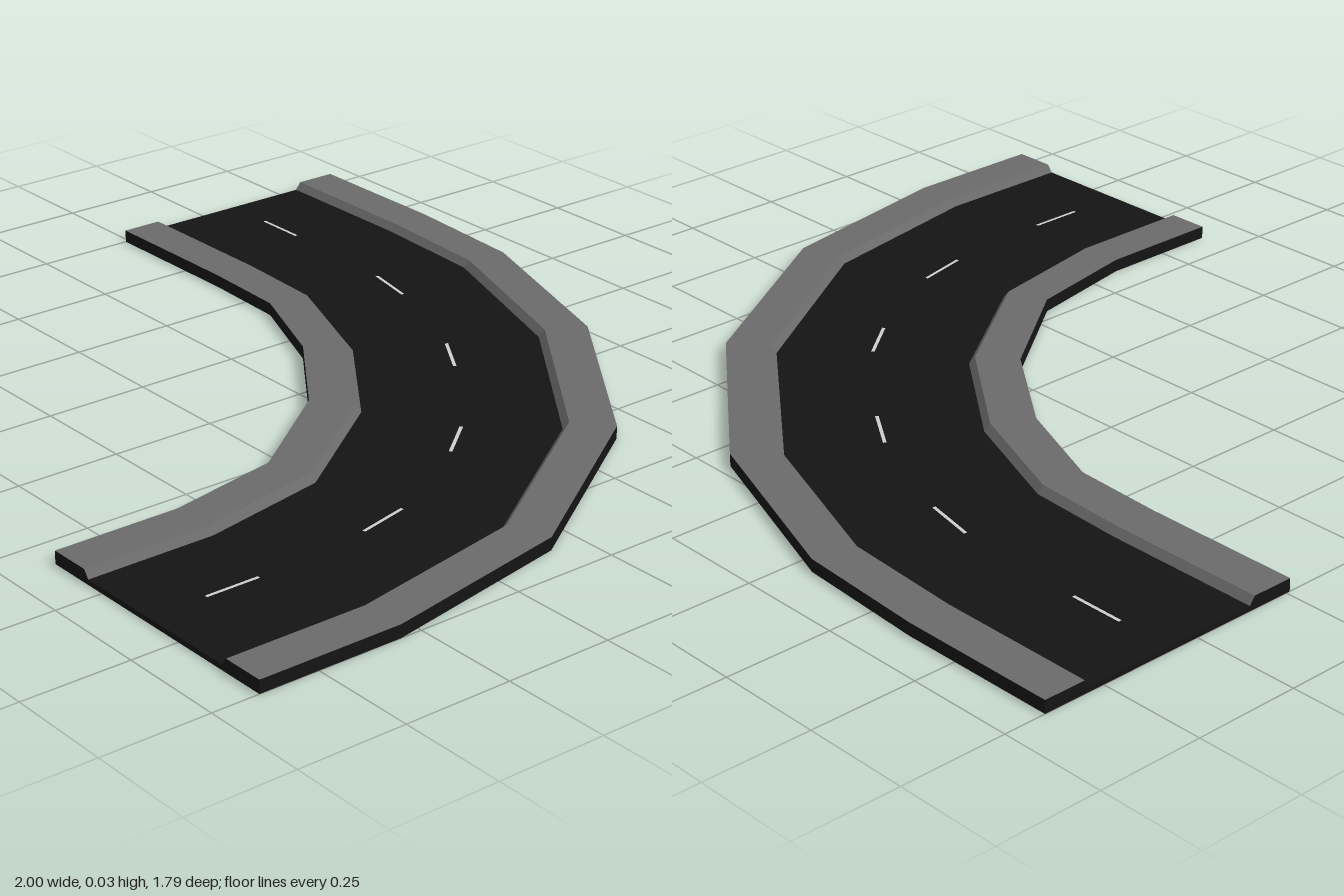
import * as THREE from 'three';

// Plan outlines [x, z] of the bend, from the left-hand end to the front end
const OUTER = [[-1, -0.9], [-0.62, -0.9], [-0.3, -0.88], [0.17, -0.72], [0.61, -0.39], [0.91, 0.08], [1, 0.55], [1, 0.89]];
const INNER = [[-1, -0.24], [-0.62, -0.24], [-0.4, -0.23], [-0.15, -0.13], [0.09, 0.045], [0.285, 0.31], [0.34, 0.59], [0.34, 0.89]];

const TOP = 0.03;   // pavement height
const ROAD = 0.012; // road surface height

// Cross-section [fraction from outer to inner edge, height]
const OUTER_KERB = [[0, TOP], [0.153, TOP], [0.173, ROAD]];
const INNER_KERB = [[0.827, ROAD], [0.847, TOP], [1, TOP]];
const LANE = [OUTER_KERB[2], INNER_KERB[0]];

const point = (i, [t, y]) => [
  THREE.MathUtils.lerp(OUTER[i][0], INNER[i][0], t), y,
  THREE.MathUtils.lerp(OUTER[i][1], INNER[i][1], t),
];

const quad = (out, a, b, c, d) => out.push(...a, ...b, ...c, ...a, ...c, ...d);

// Sweep an open profile along the bend
function sweep(out, profile) {
  for (let i = 0; i < OUTER.length - 1; i++) {
    for (let j = 0; j < profile.length - 1; j++) {
      const [p, q] = [profile[j], profile[j + 1]];
      quad(out, point(i, p), point(i, q), point(i + 1, q), point(i + 1, p));
    }
  }
  return out;
}

// Close both ends between the ground and the top profile
function caps(out, profile) {
  const last = OUTER.length - 1;
  for (let j = 0; j < profile.length - 1; j++) {
    const [p, q] = [profile[j], profile[j + 1]];
    const [p0, q0] = [[p[0], 0], [q[0], 0]];
    quad(out, point(0, p0), point(0, q0), point(0, q), point(0, p));
    quad(out, point(last, q0), point(last, p0), point(last, p), point(last, q));
  }
  return out;
}

function mesh(name, positions, color) {
  const geometry = new THREE.BufferGeometry();
  geometry.setAttribute('position', new THREE.Float32BufferAttribute(positions, 3));
  geometry.computeVertexNormals();
  const result = new THREE.Mesh(geometry, new THREE.MeshStandardMaterial({ color, flatShading: true }));
  result.name = name;
  return result;
}

export function createModel() {
  const group = new THREE.Group();
  group.name = 'curvedRoad';

  // Dark slab: side walls, underside and ends
  const base = sweep([], [[0, 0], [0, TOP]]);
  sweep(base, [[1, TOP], [1, 0], [0, 0]]);
  caps(base, [...OUTER_KERB, ...INNER_KERB]);
  group.add(mesh('base', base, 0x141414));

  // Road surface and the raised pavements with sloping kerbs
  group.add(mesh('roadSurface', sweep([], LANE), 0x141414));
  group.add(mesh('outerPavement', sweep([], OUTER_KERB), 0x6a6a6a));
  group.add(mesh('innerPavement', sweep([], INNER_KERB), 0x6a6a6a));

  // Centre-line dashes: [x, z, heading]
  const dashes = [
    [-0.805, -0.58, 0], [-0.343, -0.552, 0.2], [0.065, -0.39, 0.57],
    [0.415, -0.1, 0.9], [0.615, 0.272, 1.34], [0.655, 0.688, Math.PI / 2],
  ];
  const paint = new THREE.MeshStandardMaterial({ color: 0xcccccc });
  const dashGeometry = new THREE.PlaneGeometry(0.13, 0.008).rotateX(-Math.PI / 2);
  dashes.forEach(([x, z, heading], i) => {
    const dash = new THREE.Mesh(dashGeometry, paint);
    dash.name = `laneDash${i + 1}`;
    dash.position.set(x, ROAD + 0.001, z);
    dash.rotation.y = -heading;
    group.add(dash);
  });
  return group;
}
